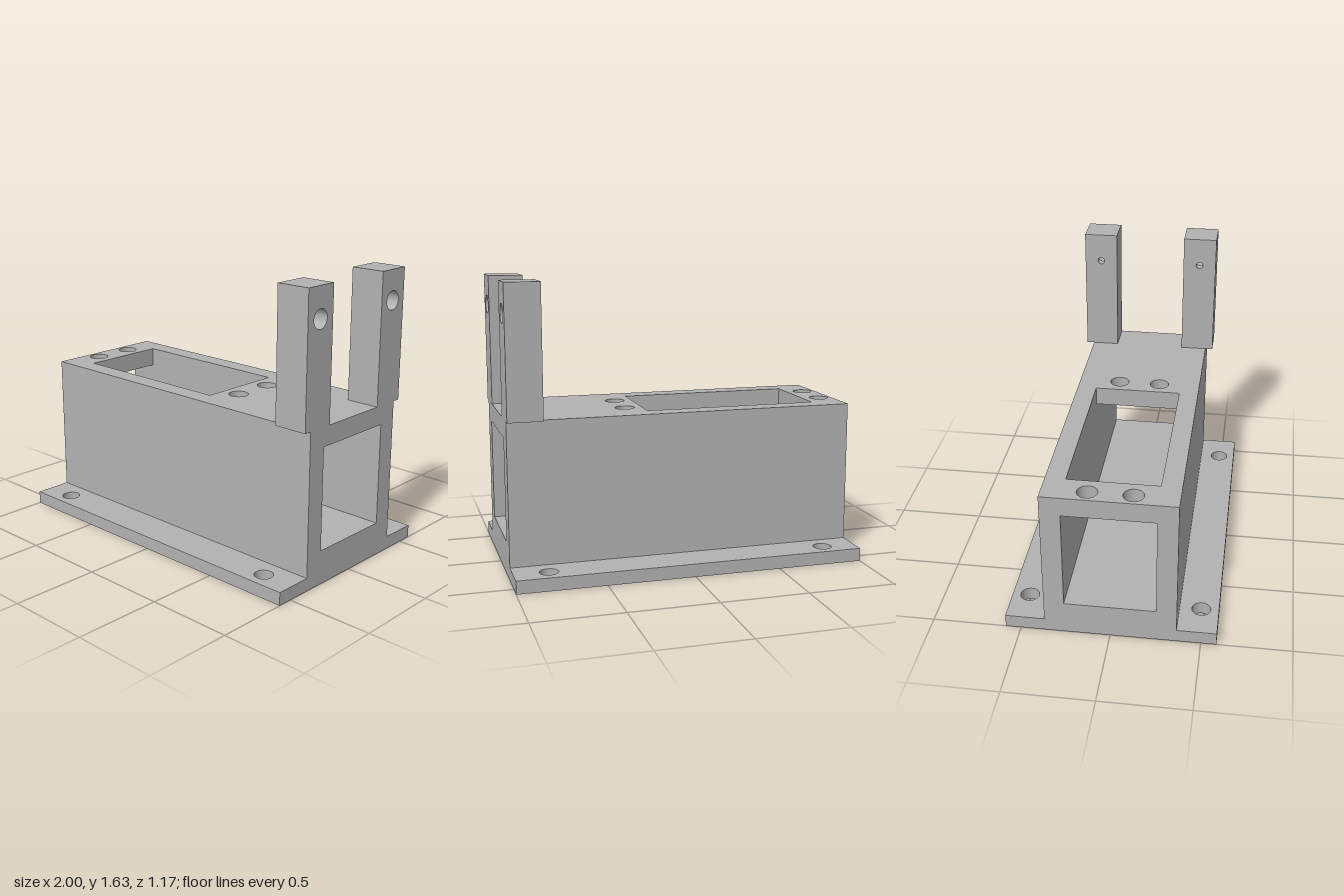
import * as THREE from 'three';
import { toCreasedNormals } from 'three/addons/utils/BufferGeometryUtils.js';

// Rectangle outline
function rect(path, x0, y0, x1, y1) {
  path.moveTo(x0, y0);
  path.lineTo(x1, y0);
  path.lineTo(x1, y1);
  path.lineTo(x0, y1);
  path.closePath();
  return path;
}

// Rectangular shape with round holes given as [x, y, radius]
function drilledShape(x0, y0, x1, y1, holes) {
  const shape = rect(new THREE.Shape(), x0, y0, x1, y1);
  for (const [x, y, r] of holes) {
    shape.holes.push(new THREE.Path().absarc(x, y, r, 0, Math.PI * 2, true));
  }
  return shape;
}

function extrude(shape, depth) {
  const geometry = new THREE.ExtrudeGeometry(shape, { depth, bevelEnabled: false, curveSegments: 32 });
  return toCreasedNormals(geometry, Math.PI / 6);
}

// Extrude upwards from y, or along +x from x
const extrudeUp = (shape, y, height) => extrude(shape, height).rotateX(-Math.PI / 2).translate(0, y, 0);
const extrudeAlongX = (shape, x, length) => extrude(shape, length).rotateY(Math.PI / 2).translate(x, 0, 0);

export function createModel() {
  const model = new THREE.Group();
  model.name = 'mountingBracket';
  const grey = new THREE.MeshStandardMaterial({ color: 0xb2b2b2 });
  grey.name = 'grey';

  const add = (name, geometry, parent = model) => {
    const mesh = new THREE.Mesh(geometry, grey);
    mesh.name = name;
    parent.add(mesh);
  };

  // Base flange with four mounting holes
  const baseHoles = [];
  for (const x of [-0.805, 0.805]) for (const z of [-0.487, 0.487]) baseHoles.push([x, z, 0.053]);
  add('baseFlange', extrudeUp(drilledShape(-1, -0.586, 1, 0.586, baseHoles), 0, 0.075));

  // Channel: thick floor and two side walls
  const channel = new THREE.Shape([
    [-0.366, 0.075], [0.366, 0.075], [0.366, 0.78], [0.253, 0.78],
    [0.253, 0.195], [-0.253, 0.195], [-0.253, 0.78], [-0.366, 0.78],
  ].map(([z, y]) => new THREE.Vector2(z, y)));
  add('channelBody', extrudeAlongX(channel, -1, 2));

  // Top plate with the rectangular opening and four screw holes
  const topHoles = [];
  for (const x of [-0.923, 0.285]) for (const z of [-0.122, 0.122]) topHoles.push([x, z, 0.056]);
  const top = drilledShape(-1, -0.366, 1, 0.366, topHoles);
  top.holes.push(rect(new THREE.Path(), -0.82, -0.253, 0.185, 0.253));
  add('topPlate', extrudeUp(top, 0.78, 0.11));

  // Upright posts with counterbored holes opening towards +x
  for (const side of [1, -1]) {
    const post = new THREE.Group();
    post.name = side > 0 ? 'frontPost' : 'backPost';
    const layer = (r) => drilledShape(-0.1, 0.89, 0.1, 1.635, [[0, 1.465, r]]);
    add('postInnerLayer', extrudeAlongX(layer(0.021), 0.803, 0.05), post);
    add('postOuterLayer', extrudeAlongX(layer(0.053), 0.853, 0.147), post);
    post.position.z = side * 0.31;
    model.add(post);
  }

  return model;
}
